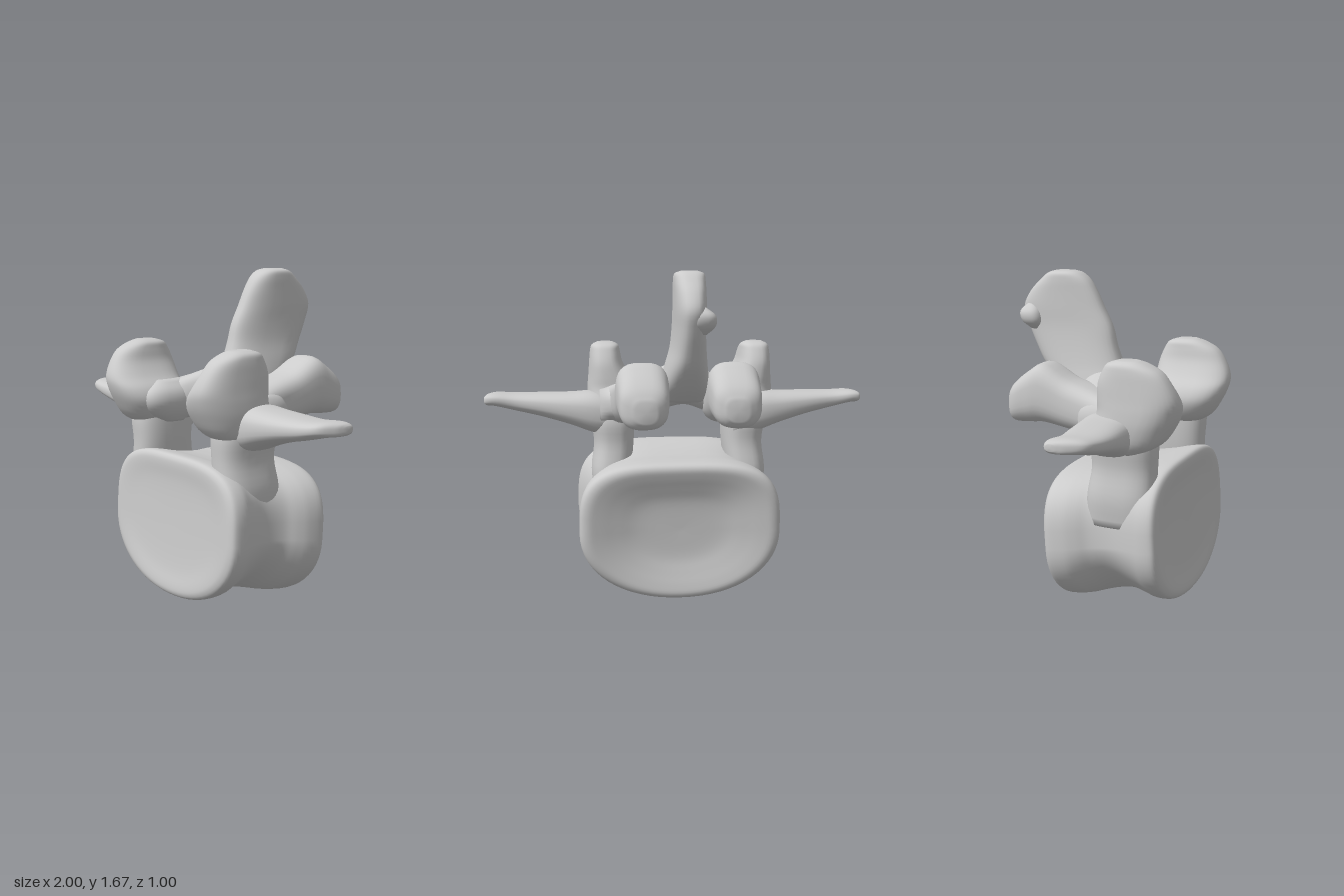
import * as THREE from 'three';

const material = new THREE.MeshStandardMaterial({ color: 0xcccccc, roughness: 0.8 });

// Point on a superellipse; nTop and nBottom set how square each half is
function ringPoint(angle, nTop, nBottom) {
  const c = Math.cos(angle), s = Math.sin(angle);
  const e = 2 / (s > 0 ? nTop : nBottom);
  return [Math.sign(c) * Math.abs(c) ** e, Math.sign(s) * Math.abs(s) ** e];
}

// Closed loft along an axis. Station: [w, u, v, radiusU, radiusV, nBottom], w increasing,
// with (u, v, w) = (y,z,x), (z,x,y) or (x,y,z) for axis x, y or z.
function loft(name, axis, stations, options = {}) {
  const { side = 1, nTop = 2.6, sides = 32, steps = 4, dx = 0, dz = 0, shear = 0 } = options;
  const spline = (points) => new THREE.CatmullRomCurve3(points, false, 'catmullrom');
  const centre = spline(stations.map(([w, u, v]) => new THREE.Vector3(u, v, w)));
  const radius = spline(stations.map(([, , , a, b, n = 2.6]) => new THREE.Vector3(a, b, n)));
  const count = (stations.length - 1) * steps;
  const positions = [], index = [];
  for (let k = -1; k <= count + 1; k++) {
    const t = THREE.MathUtils.clamp(k / count, 0, 1);
    const c = centre.getPoint(t), r = radius.getPoint(t);
    const cap = k < 0 || k > count ? 0.001 : 1;
    for (let j = 0; j < sides; j++) {
      const [p, q] = ringPoint((j / sides) * Math.PI * 2, nTop, r.z);
      const u = c.x + p * Math.max(r.x, 0.001) * cap;
      const v = c.y + q * Math.max(r.y, 0.001) * cap;
      const [x, y, z] = { x: [c.z, u, v], y: [v, c.z, u], z: [u, v, c.z] }[axis];
      positions.push((x + dx) * side, y, z + dz - shear * (y - 0.4));
    }
  }
  for (let i = 0; i < count + 2; i++) {
    for (let j = 0; j < sides; j++) {
      const a = i * sides + j, b = i * sides + (j + 1) % sides;
      const c = b + sides, d = a + sides;
      if (side > 0) index.push(a, b, c, a, c, d);
      else index.push(a, c, b, a, d, c);
    }
  }
  const geometry = new THREE.BufferGeometry();
  geometry.setAttribute('position', new THREE.Float32BufferAttribute(positions, 3));
  geometry.setIndex(index);
  geometry.computeVertexNormals();
  const mesh = new THREE.Mesh(geometry, material);
  mesh.name = name;
  return mesh;
}

export function createModel() {
  const group = new THREE.Group();
  group.name = 'vertebra';

  // Body with raised rims, dished end faces and pinched lower flanks:
  // [z, width scale, height scale, squareness of the lower half]
  const body = [
    [-0.115, 0.04, 0.04, 2.1], [-0.12, 0.4, 0.4, 2.1], [-0.14, 0.62, 0.62, 2.1], [-0.16, 0.8, 0.8, 2.1],
    [-0.167, 0.92, 0.93, 2.1], [-0.14, 0.99, 1, 2.15], [-0.06, 0.985, 1, 2.1], [0, 0.95, 0.985, 1.9],
    [0.06, 0.9, 0.97, 1.75], [0.13, 0.88, 0.965, 1.65], [0.2, 0.89, 0.965, 1.75], [0.28, 0.94, 0.98, 1.95],
    [0.34, 0.99, 1, 2.1], [0.4, 0.99, 1, 2.15], [0.422, 0.94, 0.95, 2.1], [0.425, 0.85, 0.85, 2.1],
    [0.415, 0.65, 0.65, 2.1], [0.41, 0.4, 0.4, 2.1], [0.408, 0.04, 0.04, 2.1]];
  group.add(loft('body', 'z',
    body.map(([z, sx, sy, n]) => [z, 0, 0.385 + 0.1 * (z - 0.1), 0.52 * sx, 0.357 * sy, n]),
    { nTop: 3.4, sides: 64, shear: 0.06 }));

  // Arch over the canal, joining both sides
  group.add(loft('lamina', 'x', [
    [-0.42, 0.99, 0.12, 0.08, 0.13], [-0.24, 1.03, 0.05, 0.105, 0.16], [-0.12, 1.08, 0.01, 0.105, 0.14],
    [-0.02, 1.12, 0, 0.115, 0.13],
    [0.1, 1.08, 0.01, 0.105, 0.14], [0.22, 1.03, 0.05, 0.105, 0.16], [0.4, 0.99, 0.12, 0.08, 0.13]]));

  // Leaf-like blade leaning back, flared at its foot
  group.add(loft('spinousProcess', 'y', [
    [1.03, -0.05, -0.02, 0.13, 0.1], [1.1, -0.09, -0.02, 0.19, 0.125], [1.2, -0.16, -0.02, 0.215, 0.105],
    [1.3, -0.205, -0.025, 0.225, 0.085], [1.4, -0.24, -0.025, 0.235, 0.076], [1.49, -0.275, -0.025, 0.225, 0.076],
    [1.57, -0.275, -0.025, 0.185, 0.076], [1.63, -0.265, -0.025, 0.135, 0.076],
    [1.665, -0.265, -0.025, 0.09, 0.07], [1.678, -0.265, -0.025, 0.05, 0.04]], { nTop: 2.6 }));
  group.add(loft('spinousKnob', 'y', [
    [1.38, -0.42, -0.07, 0.02, 0.02], [1.42, -0.43, -0.07, 0.055, 0.06],
    [1.47, -0.44, -0.07, 0.055, 0.06], [1.51, -0.44, -0.06, 0.02, 0.02]]));

  // Paired parts, the right side standing slightly further out
  for (const side of [1, -1]) {
    const right = side < 0;
    const prefix = right ? 'right' : 'left';

    group.add(loft(prefix + 'Pedicle', 'y', [
      [0.5, 0.2, 0.34, 0.17, 0.09], [0.64, 0.2, 0.34, 0.17, 0.105], [0.78, 0.21, 0.325, 0.16, 0.105],
      [0.9, 0.21, 0.33, 0.165, 0.115], [1.0, 0.22, 0.33, 0.14, 0.11]], { side, dx: right ? 0.04 : 0 }));

    group.add(loft(prefix + 'SuperiorArticularProcess', 'y', [
      [0.87, 0.22, 0.33, 0.1, 0.08], [0.92, 0.24, 0.315, 0.17, 0.13], [1.0, 0.27, 0.305, 0.195, 0.155],
      [1.07, 0.295, 0.315, 0.2, 0.145], [1.13, 0.3, 0.34, 0.2, 0.115], [1.2, 0.29, 0.36, 0.18, 0.09],
      [1.26, 0.28, 0.365, 0.145, 0.08], [1.295, 0.26, 0.365, 0.1, 0.07], [1.312, 0.26, 0.365, 0.05, 0.04]],
    { side, dx: right ? 0.075 : 0 }));

    // Medial shelf beside the canal, in front of the lamina
    group.add(loft(prefix + 'ArticularShelf', 'y', [
      [0.89, 0.2, 0.25, 0.06, 0.04], [0.94, 0.22, 0.24, 0.13, 0.07], [1.0, 0.24, 0.235, 0.15, 0.085],
      [1.06, 0.24, 0.245, 0.14, 0.08], [1.11, 0.22, 0.27, 0.08, 0.05]], { side, dx: right ? 0.03 : 0 }));

    group.add(loft(prefix + 'InferiorArticularProcess', 'z', [
      [-0.485, 0.2, 1.02, 0.05, 0.05], [-0.445, 0.205, 1.035, 0.11, 0.1], [-0.36, 0.205, 1.07, 0.125, 0.135],
      [-0.28, 0.205, 1.09, 0.13, 0.15], [-0.15, 0.205, 1.045, 0.13, 0.125], [-0.03, 0.215, 1.02, 0.135, 0.115],
      [0.08, 0.26, 1.0, 0.125, 0.105], [0.17, 0.32, 0.98, 0.11, 0.09], [0.26, 0.34, 0.95, 0.08, 0.07]],
    { side, nTop: 3, dx: right ? 0.04 : 0, dz: right ? 0.025 : 0 }));

    group.add(loft(prefix + 'TransverseProcess', 'x', [
      [0.3, 0.92, 0.19, 0.09, 0.13], [0.42, 0.945, 0.19, 0.11, 0.14], [0.55, 0.965, 0.2, 0.085, 0.135],
      [0.7, 0.985, 0.22, 0.062, 0.125], [0.84, 1.0, 0.23, 0.045, 0.105], [0.94, 1.015, 0.22, 0.035, 0.095],
      [0.985, 1.015, 0.19, 0.028, 0.055], [1.0, 1.015, 0.17, 0.015, 0.02]], { side, dz: right ? -0.03 : 0 }));
  }
  return group;
}
